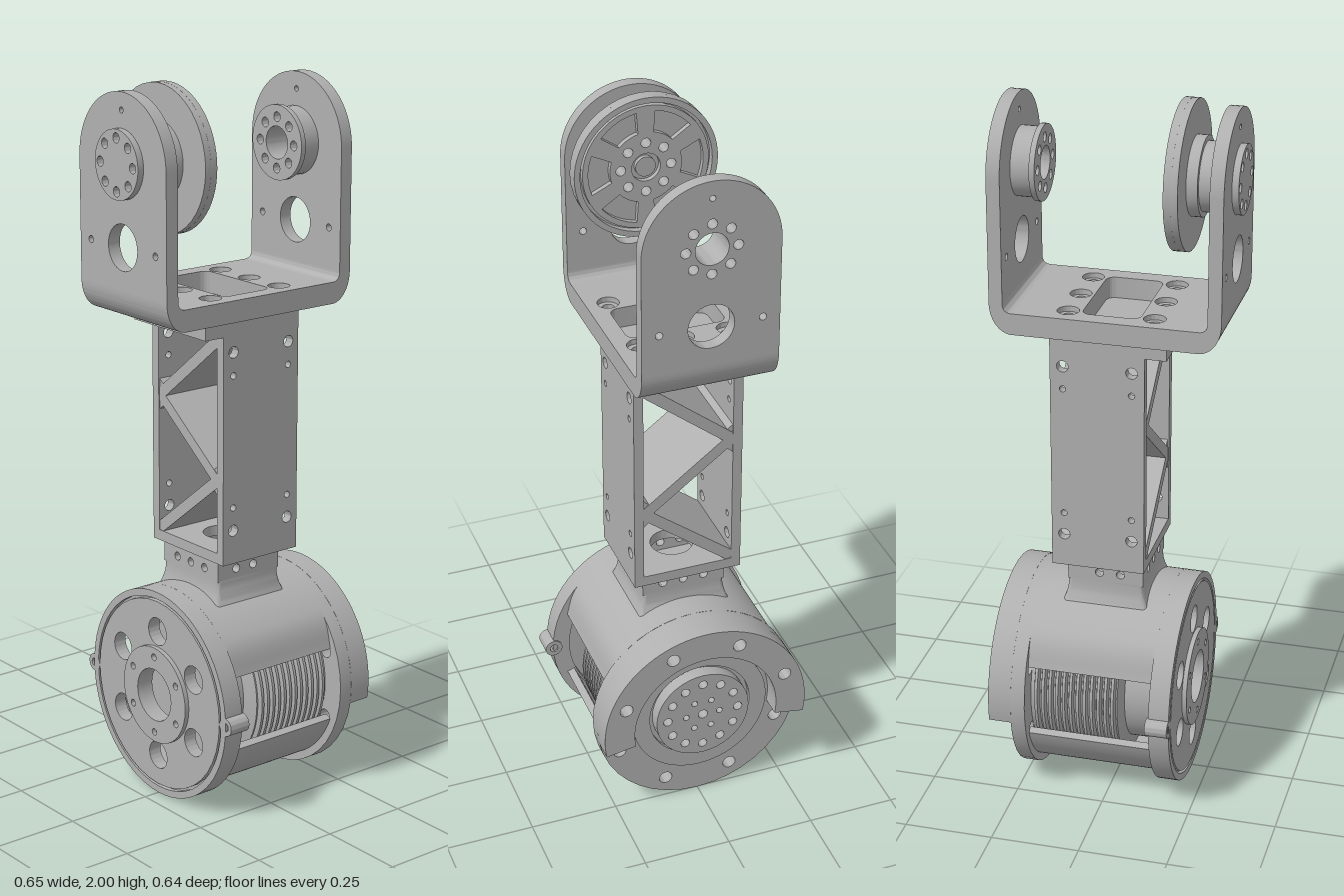
import * as THREE from 'three';
import { toCreasedNormals } from 'three/addons/utils/BufferGeometryUtils.js';

const metal = new THREE.MeshStandardMaterial({ color: 0xb0b0b0 });
const PI = Math.PI;

export function createModel() {
  const root = new THREE.Group();
  const group = (name) => { const g = new THREE.Group(); g.name = name; root.add(g); return g; };
  const add = (parent, name, geo) => {
    const m = new THREE.Mesh(toCreasedNormals(geo, 0.5), metal);
    m.name = name;
    parent.add(m);
    return m;
  };

  // Shape helpers; holes are [x, y, radius]
  const cut = (shape, holes) => {
    for (const [x, y, r] of holes) shape.holes.push(new THREE.Path().absarc(x, y, r, 0, PI * 2, true));
    return shape;
  };
  const disc = (x, y, r, holes = []) => cut(new THREE.Shape().absarc(x, y, r, 0, PI * 2, false), holes);
  const rect = (x0, y0, x1, y1, r = 0, P = THREE.Shape) => {
    const s = new P();
    if (!r) return s.moveTo(x0, y0).lineTo(x1, y0).lineTo(x1, y1).lineTo(x0, y1).closePath();
    return s.absarc(x1 - r, y0 + r, r, -PI / 2, 0).absarc(x1 - r, y1 - r, r, 0, PI / 2)
      .absarc(x0 + r, y1 - r, r, PI / 2, PI).absarc(x0 + r, y0 + r, r, PI, PI * 1.5).closePath();
  };
  const boltCircle = (n, x, y, R, r, a0 = 0) => Array.from({ length: n }, (_, i) => {
    const a = a0 + i * 2 * PI / n;
    return [x + R * Math.cos(a), y + R * Math.sin(a), r];
  });

  // Extrusions along z, x (shape is z,y) and y (shape is x,z)
  const ext = (shape, depth, steps = 1) =>
    new THREE.ExtrudeGeometry(shape, { depth, steps, bevelEnabled: false, curveSegments: shape.holes.length > 4 ? 20 : 32 });
  const alongZ = (s, z0, z1) => ext(s, z1 - z0).translate(0, 0, z0);
  const alongX = (s, x0, x1) => ext(s, x1 - x0).rotateY(-PI / 2).translate(x1, 0, 0);
  const alongY = (s, y0, y1, n) => ext(s, y1 - y0, n).rotateX(PI / 2).translate(0, y1, 0);
  const latheZ = (pts, y) => new THREE.LatheGeometry(pts.map(([r, z]) => new THREE.Vector2(r, z)), 64)
    .rotateX(PI / 2).translate(0, y, 0);

  // ---- Yoke: two rounded uprights, a base and curved bends
  const yoke = group('yoke');
  const W = 0.187, hubY = 1.8;
  const bolts = boltCircle(8, 0, hubY, 0.07, 0.0135, PI / 2);
  const ears = [[0, 1.58, 0.063], [-0.14, 1.58, 0.01], [0.14, 1.58, 0.01], [0, 1.94, 0.008]];
  const upright = (holes) => cut(new THREE.Shape().moveTo(-W, 1.465).lineTo(W, 1.465).lineTo(W, hubY)
    .absarc(0, hubY, W, 0, PI, false).closePath(), holes);
  add(yoke, 'frontUpright', alongZ(upright([...ears, ...bolts]), 0.27, 0.307));
  add(yoke, 'rearUpright', alongZ(upright([...ears, ...bolts, [0, hubY, 0.045]]), -0.32, -0.283));
  const base = rect(-W, -0.258, W, 0.245), baseHoles = [];
  for (const x of [-0.125, 0, 0.125]) for (const z of [-0.12, 0.115]) baseHoles.push([x, z, 0.03]);
  base.holes.push(rect(-0.138, -0.082, 0.138, 0.077, 0.025, THREE.Path));
  add(yoke, 'yokeBase', alongY(cut(base, baseHoles), 1.38, 1.44));
  for (const [x, z] of baseHoles)
    add(yoke, 'boltSeat', alongY(disc(x, z, 0.03, [[x, z, 0.017]]), 1.38, 1.425));
  const bend = (s, zi, zo) => {
    const p = new THREE.Shape().moveTo(zi - s * 0.025, 1.38);
    p.bezierCurveTo(zo - s * 0.028, 1.38, zo, 1.417, zo, 1.465);
    p.lineTo(zi, 1.465).quadraticCurveTo(zi, 1.44, zi - s * 0.025, 1.44).closePath();
    return alongX(p, -W, W);
  };
  add(yoke, 'frontBend', bend(1, 0.27, 0.307));
  add(yoke, 'rearBend', bend(-1, -0.283, -0.32));

  // ---- Hubs on the yoke
  const hubs = group('yokeHubs');
  add(hubs, 'frontBoss', alongZ(disc(0, hubY, 0.093, bolts), 0.307, 0.325));
  add(hubs, 'frontHub', alongZ(disc(0, hubY, 0.093, bolts), 0.22, 0.27));
  add(hubs, 'frontHubFlange', alongZ(disc(0, hubY, 0.107, bolts), 0.19, 0.22));
  const ringHoles = [...bolts, [0, hubY, 0.045]];
  add(hubs, 'rearHub', alongZ(disc(0, hubY, 0.094, ringHoles), -0.283, -0.23));
  add(hubs, 'rearHubFlange', alongZ(disc(0, hubY, 0.103, ringHoles), -0.23, -0.215));

  // ---- Output wheel with six raised-edge pockets
  const wheel = group('outputWheel');
  add(wheel, 'wheelDisc', alongZ(disc(0, hubY, 0.2, bolts), 0.172, 0.19));
  add(wheel, 'wheelRim', alongZ(disc(0, hubY, 0.2, [[0, hubY, 0.184]]), 0.152, 0.172));
  const web = disc(0, hubY, 0.176, [...bolts, [0, hubY, 0.04]]);
  for (let i = 0; i < 6; i++) {
    const a = i * PI / 3, d = 0.36;
    web.holes.push(new THREE.Path().absarc(0, hubY, 0.16, a - d, a + d, false)
      .absarc(0, hubY, 0.1, a + d * 0.85, a - d * 0.85, true).closePath());
  }
  add(wheel, 'wheelWeb', alongZ(web, 0.157, 0.172));
  add(wheel, 'wheelCentre', alongZ(disc(0, hubY, 0.028), 0.16, 0.172));

  // ---- Link: two side plates, end plates and a zigzag of webs
  const link = group('link');
  const z0 = -0.165, z1 = 0.095;
  const sideHoles = [];
  for (const z of [0.06, -0.13])
    sideHoles.push([z, 1.29, 0.016], [z, 0.79, 0.016], [z, 1.225, 0.009], [z, 0.855, 0.009]);
  for (const s of [-1, 1])
    add(link, 'sidePlate', alongX(cut(rect(z0, 0.695, z1, 1.335), sideHoles), s * 0.1415 - 0.0135, s * 0.1415 + 0.0135));
  add(link, 'topPlate', alongY(rect(-0.155, z0, 0.155, 0.155), 1.335, 1.38));
  add(link, 'bottomPlate', alongY(cut(rect(-0.128, z0, 0.128, z1), [[0, -0.035, 0.06]]), 0.695, 0.725));
  const nodes = [[0.13, 1.325], [-0.125, 1.12], [0.125, 0.93], [-0.125, 0.735]];
  for (let i = 0; i < 3; i++) {
    const [ax, ay] = nodes[i], [bx, by] = nodes[i + 1];
    const g = new THREE.BoxGeometry(Math.hypot(bx - ax, by - ay) + 0.02, 0.032, z1 - z0 - 0.004);
    g.rotateZ(Math.atan2(by - ay, bx - ax)).translate((ax + bx) / 2, (ay + by) / 2, (z0 + z1) / 2);
    add(link, 'diagonalWeb', g);
  }
  // Gussets where the webs meet the side plates
  for (const [x, y] of nodes.slice(1, 3)) {
    const s = Math.sign(x);
    const tri = new THREE.Shape([[0.13, -0.045], [0.13, 0.045], [0.1, 0.02], [0.1, -0.02]]
      .map(([u, v]) => new THREE.Vector2(s * u, y + v)));
    add(link, 'gusset', alongZ(tri, z0 + 0.004, z1 - 0.004));
  }

  // ---- Neck: drilled box walls above a flared skirt
  const neck = group('neck');
  const nz0 = -0.13, nz1 = 0.085, nx = 0.12, t = 0.03;
  const wall = cut(rect(-nx, 0.635, nx, 0.695), [-0.06, 0, 0.06].map((x) => [x, 0.663, 0.012]));
  add(neck, 'neckFront', alongZ(wall, nz1 - t, nz1));
  add(neck, 'neckRear', alongZ(wall, nz0, nz0 + t));
  const cheek = cut(rect(nz0 + t, 0.635, nz1 - t, 0.695), [0.02, -0.04].map((z) => [z, 0.663, 0.012]));
  for (const x of [-nx, nx - t]) add(neck, 'neckSide', alongX(cheek, x, x + t));
  const skirt = alongY(rect(-nx, nz0, nx, nz1, 0.012), 0.54, 0.637, 10);
  const p = skirt.attributes.position, mid = (nz0 + nz1) / 2;
  for (let i = 0; i < p.count; i++) {
    const f = 3.2 * Math.max(0, 0.632 - p.getY(i)) ** 2;
    p.setX(i, p.getX(i) + Math.sign(p.getX(i)) * f);
    p.setZ(i, p.getZ(i) + Math.sign(p.getZ(i) - mid) * f);
  }
  add(neck, 'neckSkirt', skirt);

  // ---- Motor housing: end rings joined by upper and lower shells, leaving side windows
  const motor = group('motorHousing');
  const cy = 0.3, R = 0.3;
  const shell = (a0, a1) => {
    const pts = [], n = 64;
    for (let i = 0; i <= n; i++) {
      const a = a0 + (a1 - a0) * i / n;
      const r = 0.277 + 0.023 * THREE.MathUtils.smoothstep(Math.sin(a), 0.37, 0.7);
      pts.push(new THREE.Vector2(r * Math.cos(a), cy + r * Math.sin(a)));
    }
    for (let i = n; i >= 0; i--) {
      const a = a0 + (a1 - a0) * i / n;
      pts.push(new THREE.Vector2(0.255 * Math.cos(a), cy + 0.255 * Math.sin(a)));
    }
    return new THREE.Shape(pts);
  };
  add(motor, 'upperShell', alongZ(shell(0.41, PI - 0.41), -0.212, 0.147));
  add(motor, 'lowerShell', alongZ(shell(PI + 0.37, 2 * PI - 0.37), -0.212, 0.147));
  add(motor, 'frontRing', alongZ(disc(0, cy, R, [[0, cy, 0.28]]), 0.145, 0.203));
  add(motor, 'frontRingStep', alongZ(disc(0, cy, 0.281, [[0, cy, 0.25]]), 0.145, 0.19));
  const ports = boltCircle(6, 0, cy, 0.185, 0.04, PI / 2);
  add(motor, 'frontCover', alongZ(disc(0, cy, 0.273, [...ports, [0, cy, 0.076]]), 0.165, 0.203));
  add(motor, 'frontHubRing', alongZ(disc(0, cy, 0.14, [[0, cy, 0.076], ...boltCircle(6, 0, cy, 0.112, 0.01, PI / 2)]), 0.2, 0.216));
  for (const s of [-1, 1])
    add(motor, 'sideLug', alongZ(disc(s * 0.299, cy, 0.025, [[s * 0.299, cy, 0.012]]), 0.14, 0.203));

  // Rear flange with a raised upper collar
  const rim = boltCircle(8, 0, cy, 0.255, 0.019, PI / 8);
  add(motor, 'rearFlange', alongZ(disc(0, cy, R, rim), -0.252, -0.21));
  const ca = -0.17;
  const collar = new THREE.Shape().absarc(0, cy, R, ca, PI - ca, false)
    .absarc(0, cy, 0.212, PI - ca, ca, true).closePath();
  add(motor, 'rearCollar', alongZ(cut(collar, rim.filter((h) => h[1] > cy)), -0.315, -0.25));
  add(motor, 'rearPlate', alongZ(disc(0, cy, 0.2, [[0, cy, 0.15]]), -0.266, -0.25));
  add(motor, 'rearOutput', alongZ(disc(0, cy, 0.138,
    [...boltCircle(12, 0, cy, 0.105, 0.013), ...boltCircle(6, 0, cy, 0.05, 0.009), [0, cy, 0.014]]), -0.29, -0.25));

  // Finned core seen through the windows
  const core = [[0, -0.21], [0.235, -0.21]];
  for (let z = -0.2; z < 0.02; z += 0.02)
    core.push([0.235, z], [0.248, z + 0.004], [0.248, z + 0.012], [0.235, z + 0.016]);
  core.push([0.235, 0.04], [0.19, 0.05], [0.19, 0.13], [0, 0.13]);
  add(motor, 'finnedCore', latheZ(core, cy));

  return root;
}
